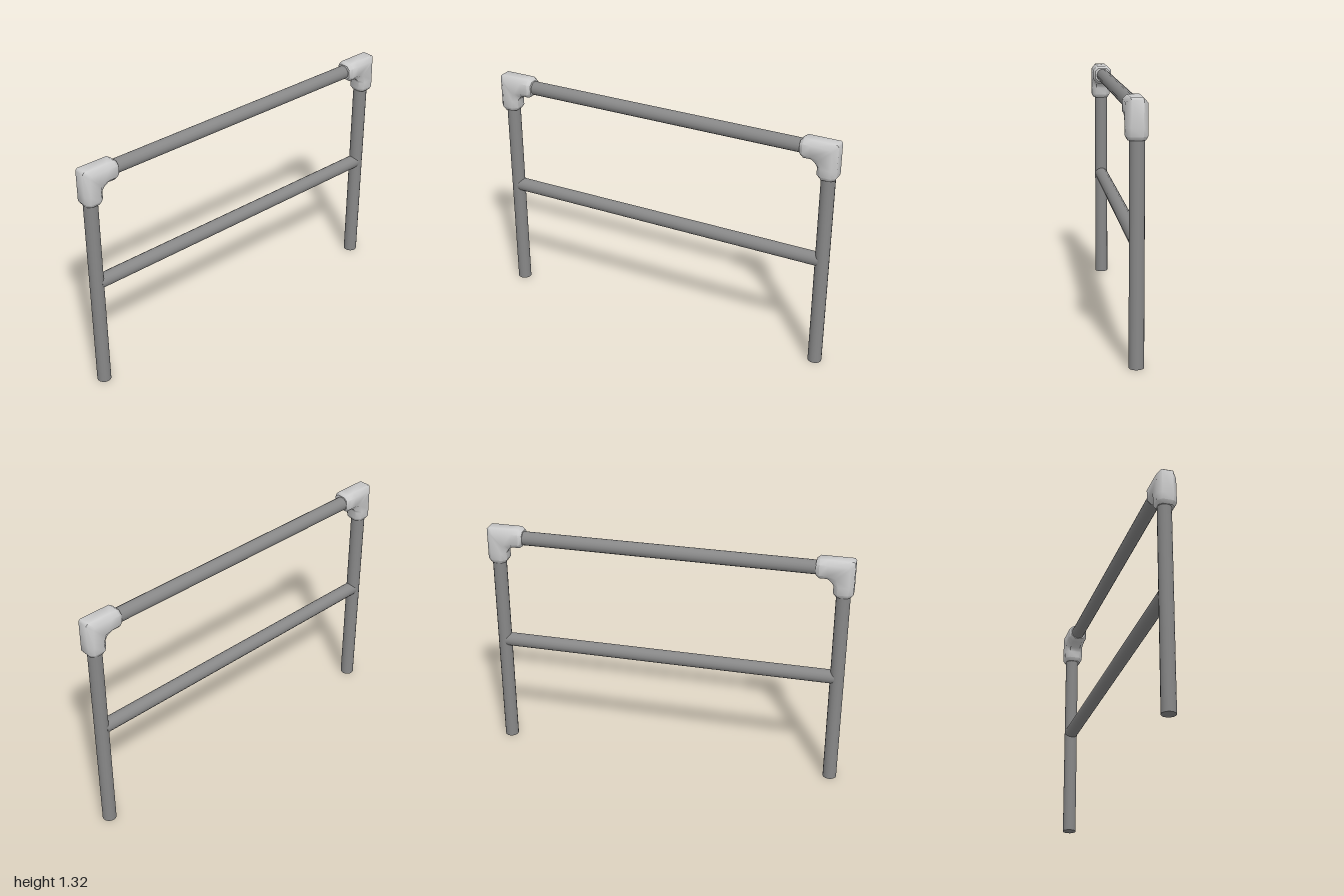
import * as THREE from 'three';
import { toCreasedNormals } from 'three/addons/utils/BufferGeometryUtils.js';

const pipeMat = new THREE.MeshStandardMaterial({ color: 0x888888 });
const fittingMat = new THREE.MeshStandardMaterial({ color: 0xcccccc });

const R = 0.038, PIPE_X = -0.004, POST_Z = 0.947;

function pipe(name, length) {
  const mesh = new THREE.Mesh(new THREE.CylinderGeometry(R, R, length, 16), pipeMat);
  mesh.name = name;
  return mesh;
}

// Elbow: chamfered sections swept from the post, around the corner, to the rail.
function elbowGeometry() {
  // outer z, outer y, inner z, inner y, width scale
  const sections = [
    [0.987, 1.118, 0.907, 1.118, 0.8],
    [1.0, 1.137, 0.894, 1.137, 1],
    [1.0, 1.18, 0.894, 1.18, 1],
    [1.0, 1.31, 0.882, 1.197, 1],
    [0.99, 1.32, 0.877, 1.202, 1],
    [0.86, 1.32, 0.86, 1.214, 1],
    [0.817, 1.32, 0.817, 1.214, 1],
    [0.798, 1.307, 0.798, 1.227, 0.8],
  ];
  // Octagon: x, and fraction from the outer to the inner edge
  const ring = [[0.053, 0.22], [0.03, 0], [-0.03, 0], [-0.053, 0.22],
    [-0.053, 0.78], [-0.03, 1], [0.03, 1], [0.053, 0.78]];
  const n = ring.length, last = sections.length - 1;
  const pos = [], index = [];
  for (const [oz, oy, iz, iy, s] of sections)
    for (const [x, t] of ring) pos.push(x * s, oy + (iy - oy) * t, oz + (iz - oz) * t);
  for (let i = 0; i < last; i++)
    for (let k = 0; k < n; k++) {
      const a = i * n + k, b = i * n + (k + 1) % n;
      index.push(a, a + n, b + n, a, b + n, b);
    }
  // End caps
  for (const [i, flip] of [[0, false], [last, true]]) {
    const [oz, oy, iz, iy] = sections[i];
    const c = pos.length / 3;
    pos.push(0, (oy + iy) / 2, (oz + iz) / 2);
    for (let k = 0; k < n; k++) {
      const a = i * n + k, b = i * n + (k + 1) % n;
      index.push(c, flip ? b : a, flip ? a : b);
    }
  }
  const geo = new THREE.BufferGeometry();
  geo.setAttribute('position', new THREE.Float32BufferAttribute(pos, 3));
  geo.setIndex(index);
  return toCreasedNormals(geo, 0.85);
}

export function createModel() {
  const group = new THREE.Group();
  group.name = 'pipeRailing';

  // Posts and corner elbows at both ends
  const elbow = elbowGeometry();
  for (const [side, end] of [[1, 'front'], [-1, 'back']]) {
    const post = pipe(end + 'Post', 1.2);
    post.position.set(PIPE_X, 0.6, side * POST_Z);
    group.add(post);

    const corner = new THREE.Mesh(elbow, fittingMat);
    corner.name = end + 'Elbow';
    if (side < 0) corner.rotation.y = Math.PI;
    group.add(corner);
  }

  // Horizontal rails
  for (const [name, y, length] of [['topRail', 1.264, 1.76], ['middleRail', 0.633, 1.87]]) {
    const rail = pipe(name, length);
    rail.rotation.x = Math.PI / 2;
    rail.position.set(PIPE_X, y, 0);
    group.add(rail);
  }
  return group;
}
